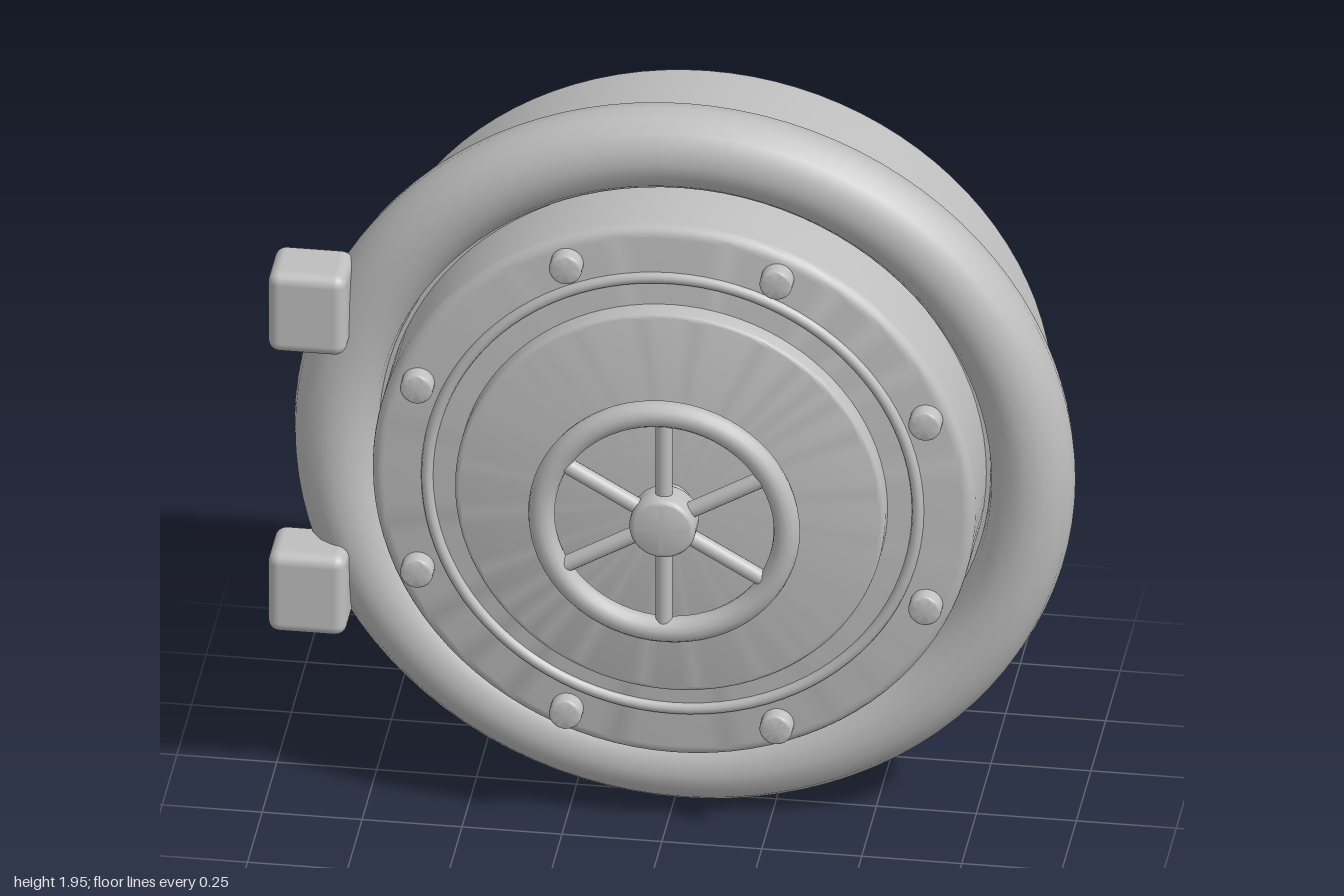
import * as THREE from 'three';
import { toCreasedNormals } from 'three/addons/utils/BufferGeometryUtils.js';
import { RoundedBoxGeometry } from 'three/addons/geometries/RoundedBoxGeometry.js';

const steel = new THREE.MeshStandardMaterial({ color: 0xbfbfbf });
steel.name = 'steel';

// Round disc along z, from z0 to z1, with a rounded rim at the z1 end.
function disc(radius, z0, z1, bevel, segments = 96) {
  const length = Math.abs(z1 - z0);
  const points = [new THREE.Vector2(0, 0), new THREE.Vector2(radius, 0)];
  for (let i = 0; i <= 5; i++) {
    const a = (i / 5) * Math.PI / 2;
    points.push(new THREE.Vector2(
      radius - bevel + bevel * Math.cos(a),
      length - bevel + bevel * Math.sin(a)
    ));
  }
  points.push(new THREE.Vector2(0, length));
  const geometry = new THREE.LatheGeometry(points, segments);
  geometry.rotateX(z1 > z0 ? Math.PI / 2 : -Math.PI / 2);
  geometry.translate(0, 0, z0);
  return toCreasedNormals(geometry, 0.6);
}

function add(parent, name, geometry, x = 0, y = 0, z = 0) {
  const mesh = new THREE.Mesh(geometry, steel);
  mesh.name = name;
  mesh.position.set(x, y, z);
  parent.add(mesh);
  return mesh;
}

export function createModel() {
  const model = new THREE.Group();
  model.name = 'vaultDoor';
  const door = new THREE.Group();
  door.name = 'door';
  door.position.set(0.021, 0.978, 0);
  model.add(door);

  // Body, frame and stepped front
  add(door, 'backDrum', disc(0.868, 0, -0.4, 0.025));
  add(door, 'frameRing', new THREE.TorusGeometry(0.871, 0.106, 16, 96));
  add(door, 'doorPlate', disc(0.754, -0.05, 0.212, 0.03));
  add(door, 'trimRing', new THREE.TorusGeometry(0.614, 0.015, 10, 96), 0, 0, 0.212);
  add(door, 'innerPlate', disc(0.538, 0.2, 0.265, 0.015));

  // Bolts around the rim
  const boltGeometry = disc(0.041, 0.19, 0.254, 0.009, 24);
  for (let i = 0; i < 8; i++) {
    const a = (i + 0.5) * Math.PI / 4;
    add(door, 'bolt', boltGeometry, 0.688 * Math.cos(a), 0.688 * Math.sin(a));
  }

  // Hand wheel
  const wheel = new THREE.Group();
  wheel.name = 'handWheel';
  door.add(wheel);
  add(wheel, 'shaft', disc(0.057, 0.25, 0.33, 0.002, 32));
  add(wheel, 'hubBack', disc(0.083, 0.355, 0.306, 0.018, 32));
  add(wheel, 'hubFront', disc(0.083, 0.355, 0.402, 0.018, 32));
  add(wheel, 'wheelRim', new THREE.TorusGeometry(0.307, 0.033, 14, 64), 0, 0, 0.355);
  const spokeGeometry = new THREE.CylinderGeometry(0.021, 0.021, 0.285, 14);
  spokeGeometry.translate(0, 0.1425, 0);
  for (let i = 0; i < 6; i++) {
    add(wheel, 'spoke', spokeGeometry, 0, 0, 0.355).rotation.z = i * Math.PI / 3;
  }

  // Hinge blocks
  const hingeGeometry = new RoundedBoxGeometry(0.196, 0.226, 0.166, 4, 0.03);
  for (const side of [-1, 1]) {
    add(model, 'hinge', hingeGeometry, -0.902, 0.978 + side * 0.4, 0.087);
  }
  return model;
}
